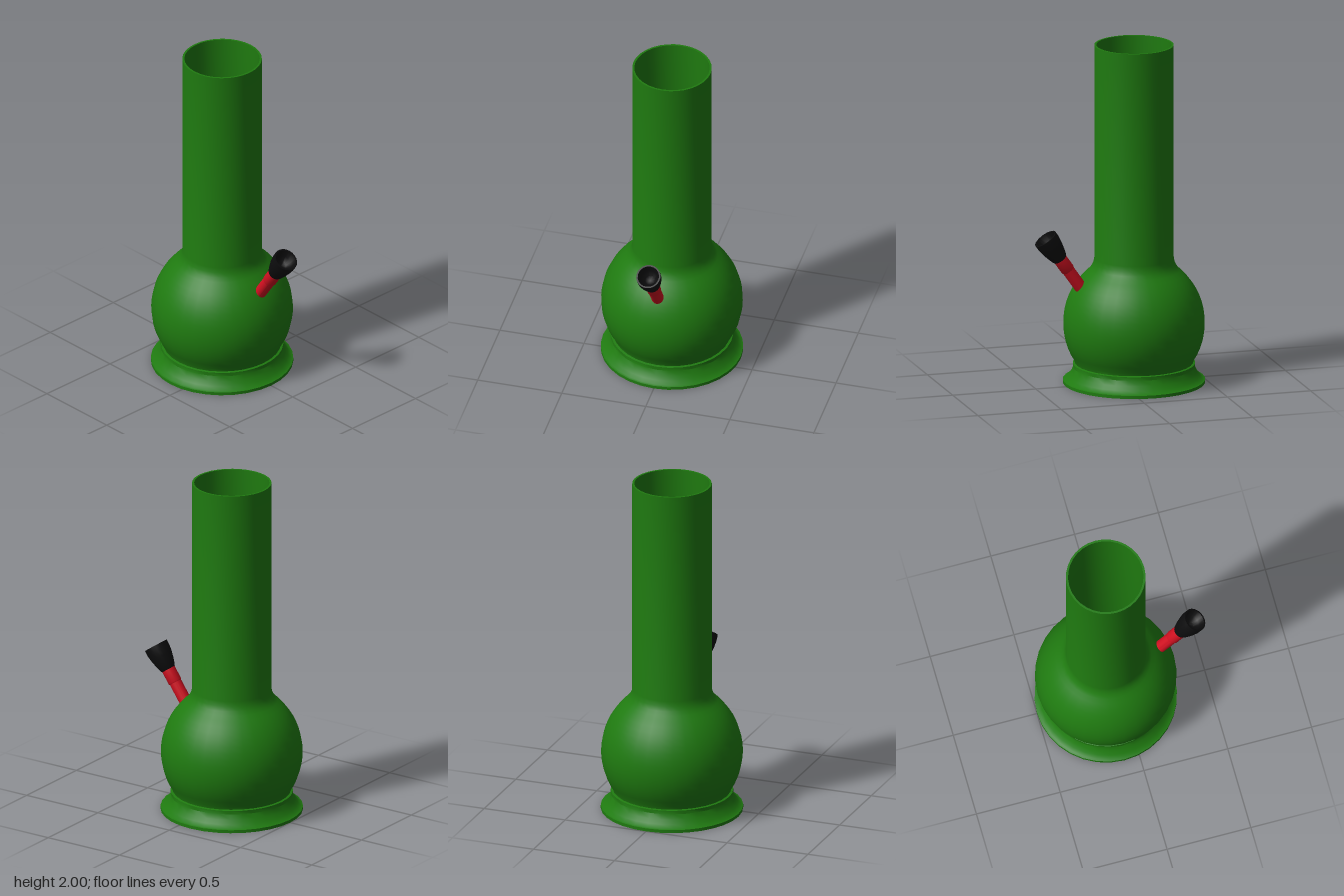
import * as THREE from 'three';
import { toCreasedNormals } from 'three/addons/utils/BufferGeometryUtils.js';

const material = (color) => new THREE.MeshStandardMaterial({ color });
const green = material(0x1f7a10);
const red = material(0xd01020);
const black = material(0x0c0c0d);

// Turned part from [radius, height] pairs, with sharp edges kept
function lathe(name, points, segments, mat) {
  const profile = points.map(([r, y]) => new THREE.Vector2(r, y));
  const geometry = toCreasedNormals(new THREE.LatheGeometry(profile, segments), 0.6);
  const mesh = new THREE.Mesh(geometry, mat);
  mesh.name = name;
  return mesh;
}

export function createModel() {
  const model = new THREE.Group();
  model.name = 'waterPipe';

  // Outer wall: flared foot, collar ring, round chamber, neck and tube
  const foot = [[0, 0], [0.41, 0], [0.41, 0.018], [0.398, 0.022], [0.38, 0.04],
    [0.362, 0.063], [0.348, 0.094]];
  const collar = [[0.353, 0.094], [0.353, 0.115], [0.34, 0.118]];
  const chamber = [];
  const R = 0.408, centerY = 0.352;
  for (let i = 0; i <= 14; i++) {
    const a = THREE.MathUtils.lerp(-0.56, 0.79, i / 14);
    chamber.push([R * Math.cos(a), centerY + R * Math.sin(a)]);
  }
  const neck = [[0.264, 0.664], [0.246, 0.685], [0.234, 0.712], [0.229, 0.74]];

  // Inner wall, running back down to the floor
  const wall = 0.012;
  const inside = [...chamber, ...neck].reverse().map(([r, y]) => [r - wall, y]);
  const body = lathe('body', [
    ...foot, ...collar, ...chamber, ...neck, [0.229, 2], [0.217, 2],
    ...inside, [0.325, 0.04], [0, 0.04],
  ], 32, green);
  body.position.z = -0.09;
  model.add(body);

  // Slanted downstem and bowl, built upright with the bowl's foot at y = 0
  const stemGroup = new THREE.Group();
  stemGroup.name = 'stemAssembly';
  stemGroup.add(
    lathe('downstem', [[0, -0.81], [0.036, -0.81], [0.036, -0.08], [0, -0.08]], 20, red),
    lathe('stemSleeve', [[0, -0.085], [0.037, -0.085], [0.04, -0.078], [0.04, 0.01], [0, 0.01]], 20, red),
    lathe('bowl', [[0, 0], [0.041, 0], [0.047, 0.012], [0.058, 0.05], [0.066, 0.085],
      [0.071, 0.12], [0.071, 0.155], [0.062, 0.155], [0.05, 0.115], [0.028, 0.09], [0, 0.082]], 20, black),
  );
  stemGroup.position.set(0, 0.76, 0.354);
  stemGroup.rotation.x = 0.61;
  model.add(stemGroup);

  return model;
}
